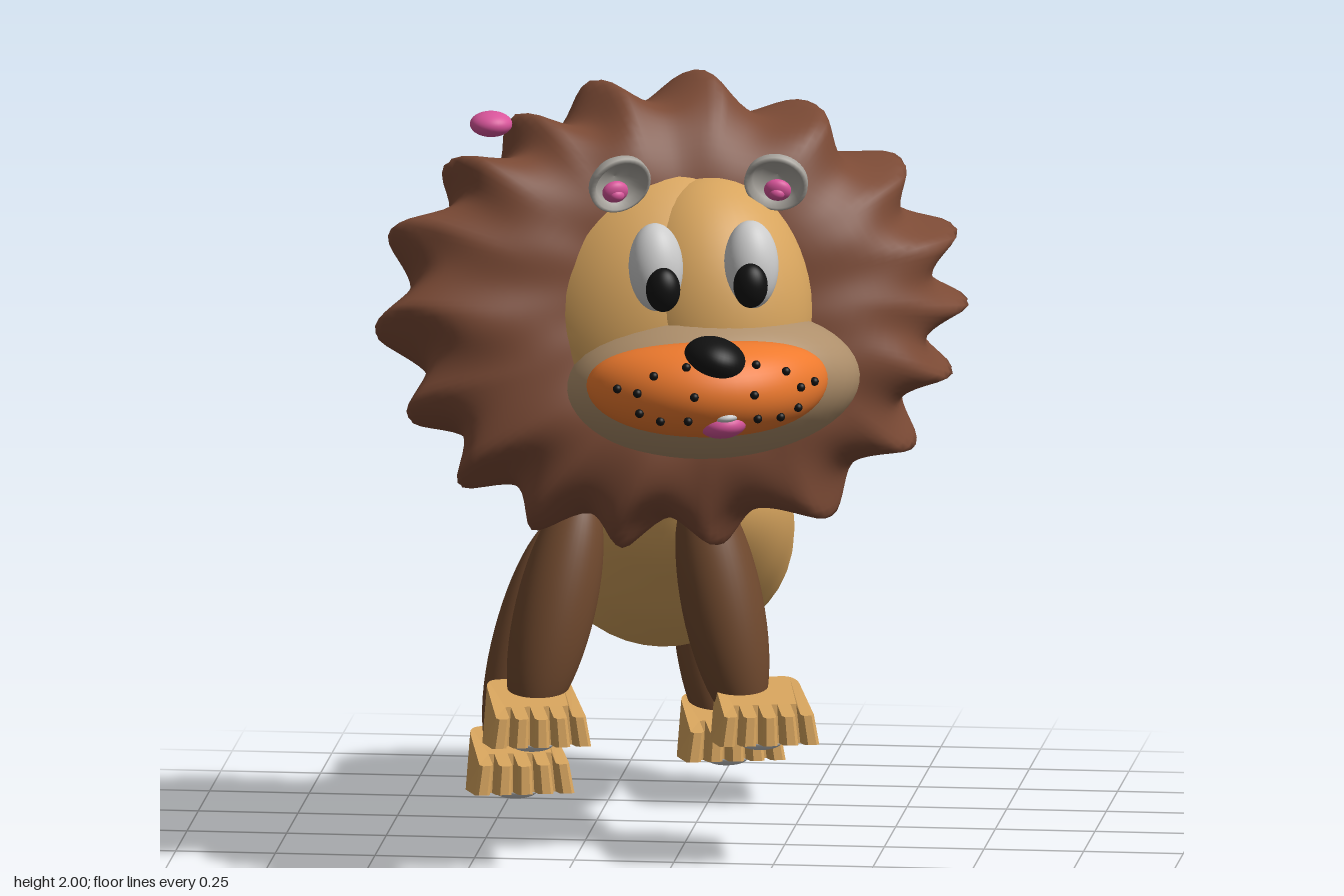
import * as THREE from 'three';
import { mergeVertices } from 'three/addons/utils/BufferGeometryUtils.js';

const mat = (color, side = THREE.FrontSide) => new THREE.MeshStandardMaterial({ color, side });
const M = {
  tan: mat(0xd8a55e), mane: mat(0x7b4a35), leg: mat(0x70492e), orange: mat(0xee7a2e),
  mask: mat(0xae8f6b), grey: mat(0xcccccc), pink: mat(0xd9559b), black: mat(0x111111),
  ear: mat(0xaaa69f, THREE.DoubleSide),
};

function add(parent, name, geometry, material, pos = [0, 0, 0], rot = [0, 0, 0]) {
  const m = new THREE.Mesh(geometry, material);
  m.name = name;
  m.position.set(...pos);
  m.rotation.set(rot[0], rot[1], rot[2], 'YXZ');
  parent.add(m);
  return m;
}

const ball = new THREE.SphereGeometry(1, 40, 28);
function ellipsoid(parent, name, material, pos, radii, rot) {
  const m = add(parent, name, ball, material, pos, rot);
  m.scale.set(...radii);
  return m;
}

// Body: smooth oval cross-sections from chest to rump
function bodyGeometry() {
  const sections = [ // z, x, y, rx, ry
    [0.115, -0.03, 0.9, 0, 0], [0.07, -0.03, 0.88, 0.15, 0.115], [-0.02, -0.04, 0.86, 0.24, 0.2],
    [-0.15, -0.05, 0.825, 0.29, 0.28], [-0.3, -0.07, 0.77, 0.31, 0.3], [-0.42, -0.09, 0.695, 0.31, 0.268],
    [-0.52, -0.115, 0.66, 0.295, 0.257], [-0.62, -0.13, 0.66, 0.28, 0.28], [-0.72, -0.12, 0.65, 0.245, 0.255],
    [-0.8, -0.1, 0.63, 0.18, 0.18], [-0.84, -0.1, 0.62, 0.1, 0.09], [-0.855, -0.1, 0.62, 0, 0],
  ];
  const centre = new THREE.CatmullRomCurve3(sections.map(s => new THREE.Vector3(s[1], s[2], s[0])), false, 'catmullrom');
  const size = new THREE.CatmullRomCurve3(sections.map(s => new THREE.Vector3(s[3], s[4], 0)), false, 'catmullrom');
  const rows = 55, cols = 40, pos = [], idx = [];
  for (let i = 0; i <= rows; i++) {
    const c = centre.getPoint(i / rows), r = size.getPoint(i / rows);
    for (let j = 0; j < cols; j++) {
      const a = j / cols * Math.PI * 2;
      pos.push(c.x + r.x * Math.cos(a), c.y + r.y * Math.sin(a), c.z);
      if (i === rows) continue;
      const p = i * cols + j, q = i * cols + (j + 1) % cols;
      idx.push(p, p + cols, q, q, p + cols, q + cols);
    }
  }
  const g = new THREE.BufferGeometry();
  g.setAttribute('position', new THREE.Float32BufferAttribute(pos, 3));
  g.setIndex(idx);
  g.computeVertexNormals();
  return g;
}

// Mane: lens-shaped disc, dished around the face, with a pointed, wavy rim
function maneGeometry() {
  let g = new THREE.SphereGeometry(1, 216, 48).rotateX(Math.PI / 2);
  g.deleteAttribute('uv');
  g.deleteAttribute('normal');
  g = mergeVertices(g, 1e-4);
  const p = g.attributes.position;
  for (let i = 0; i < p.count; i++) {
    const x = p.getX(i), y = p.getY(i), z = p.getZ(i);
    const a = Math.atan2(y, x), rho = Math.hypot(x, y);
    const phase = 9 * a + 0.6 * Math.sin(4 * z) + 0.5 * Math.sin(3 * a);
    const tooth = 1 - Math.sqrt(Math.sin(phase) ** 2 + 0.01);
    const size = 1 + rho ** 5 * (0.16 * tooth - 0.045 + 0.018 * Math.sin(5 * a + 4 * z));
    const wrinkle = 0.013 * rho ** 3 * (Math.sin(9 * a + 6 * rho) + 0.6 * Math.sin(14 * a - 7 * rho));
    const depth = z > 0 ? 0.235 * z * (1 - 0.5 * Math.exp(-((rho / 0.5) ** 2))) + 0.05 * Math.max(0, x) * z : 0.23 * z;
    p.setXYZ(i, x * 0.69 * size, y * 0.545 * size, depth + wrinkle * Math.sign(z) * Math.min(1, Math.abs(z) * 3));
  }
  g.computeVertexNormals();
  return g;
}

// Muzzle: a wide roll bent around the face
function muzzlePoint(x, y, z) {
  return [0.305 * x, 0.118 * y * (1 + 0.18 * x * x), 0.15 * z - 0.09 * x * x];
}
function muzzleGeometry() {
  const g = new THREE.SphereGeometry(1, 56, 32), p = g.attributes.position;
  for (let i = 0; i < p.count; i++) p.setXYZ(i, ...muzzlePoint(p.getX(i), p.getY(i), p.getZ(i)));
  g.computeVertexNormals();
  return g;
}

// Foot: comb outline with five toes, extruded and thinned toward the toes
function footGeometry() {
  const w = 0.25, back = -0.16, front = 0.165, slot = 0.016, toes = 5, s = new THREE.Shape();
  const toe = (w - slot * (toes - 1)) / toes;
  s.moveTo(-w * 0.3, back);
  s.quadraticCurveTo(-w * 0.46, back, -w * 0.47, back + 0.06);
  for (let i = 0; i < toes; i++) {
    const x = -w / 2 + i * (toe + slot), tip = front - 0.006 * Math.abs(i - 2);
    if (i > 0) s.lineTo(x, 0.06);
    s.lineTo(x, tip - 0.01);
    s.lineTo(x + 0.008, tip);
    s.lineTo(x + toe - 0.008, tip);
    s.lineTo(x + toe, tip - 0.01);
    if (i < toes - 1) s.lineTo(x + toe, 0.06);
  }
  s.lineTo(w * 0.47, back + 0.06);
  s.quadraticCurveTo(w * 0.46, back, w * 0.3, back);
  const g = new THREE.ExtrudeGeometry(s, { depth: 1, bevelEnabled: false, curveSegments: 6 });
  const p = g.attributes.position;
  for (let i = 0; i < p.count; i++) {
    const x = p.getX(i), z = p.getY(i), top = p.getZ(i);
    const height = THREE.MathUtils.mapLinear(z, back, front, 0.155, 0.07);
    p.setXYZ(i, x * (top ? 0.9 : 1), -0.07 + top * height, z + (top && z < 0 ? 0.02 : 0));
  }
  // Swapping the axes mirrors the solid, so turn each face around
  for (let i = 0; i < p.count; i += 3) {
    const b = new THREE.Vector3().fromBufferAttribute(p, i + 1), c = new THREE.Vector3().fromBufferAttribute(p, i + 2);
    p.setXYZ(i + 1, c.x, c.y, c.z);
    p.setXYZ(i + 2, b.x, b.y, b.z);
  }
  g.computeVertexNormals();
  return g;
}

function addLeg(root, name, top, bottom, radius, footPos, foot) {
  const leg = new THREE.Group();
  leg.name = name;
  root.add(leg);
  const a = new THREE.Vector3(...top), b = new THREE.Vector3(...bottom), d = a.clone().sub(b);
  const limb = ellipsoid(leg, name + 'Limb', M.leg, a.clone().add(b).multiplyScalar(0.5).toArray(), [radius, d.length() / 2, radius]);
  limb.quaternion.setFromUnitVectors(new THREE.Vector3(0, 1, 0), d.normalize());
  const paw = new THREE.Group();
  paw.name = name + 'Paw';
  paw.position.set(...footPos);
  paw.rotation.set(-0.14, 0.24, 0, 'YXZ');
  add(paw, 'foot', foot, M.tan);
  ellipsoid(paw, 'pad', M.grey, [0, -0.073, -0.03], [0.052, 0.018, 0.05]);
  leg.add(paw);
}

export function createModel() {
  const root = new THREE.Group();
  root.name = 'lion';
  add(root, 'body', bodyGeometry(), M.tan);

  // Legs
  const foot = footGeometry();
  addLeg(root, 'frontRightLeg', [-0.24, 0.93, 0.12], [-0.37, 0.34, 0.25], 0.1, [-0.345, 0.385, 0.305], foot);
  addLeg(root, 'frontLeftLeg', [0.04, 0.95, 0.07], [0.17, 0.33, 0.13], 0.102, [0.215, 0.38, 0.195], foot);
  addLeg(root, 'backRightLeg', [-0.39, 0.68, -0.73], [-0.53, 0.09, -0.54], 0.094, [-0.475, 0.105, -0.47], foot);
  addLeg(root, 'backLeftLeg', [-0.06, 0.69, -0.86], [0.02, 0.13, -0.64], 0.094, [0.04, 0.175, -0.6], foot);

  // Head
  const head = new THREE.Group();
  head.name = 'head';
  root.add(head);
  ellipsoid(head, 'skull', M.tan, [-0.03, 1.38, 0.22], [0.4, 0.45, 0.4], [-0.12, 0.34, 0]);
  ellipsoid(head, 'face', M.tan, [0.105, 1.44, 0.36], [0.255, 0.34, 0.265], [-0.15, 0.34, 0]);
  add(head, 'mane', maneGeometry(), M.mane, [0, 1.42, 0.3], [-0.22, 0.34, 0]);
  ellipsoid(head, 'cheeks', M.mask, [0.12, 1.275, 0.455], [0.375, 0.19, 0.27], [-0.28, 0.38, 0]);

  // Muzzle with mirrored whisker dots
  const muzzle = new THREE.Group();
  muzzle.name = 'muzzle';
  muzzle.position.set(0.155, 1.315, 0.73);
  muzzle.rotation.y = 0.3;
  head.add(muzzle);
  add(muzzle, 'muzzleRoll', muzzleGeometry(), M.orange);
  const dots = [[0.55, 0.45], [0.29, 0.66], [0.25, 0.09], [0.68, 0.09], [0.66, -0.32], [0.5, -0.47], [0.29, -0.45], [0.82, 0.12]];
  for (const side of [-1, 1]) {
    for (const [u, v] of dots) {
      ellipsoid(muzzle, 'whiskerDot', M.black, muzzlePoint(side * u, v, Math.sqrt(1 - u * u - v * v) + 0.03), [0.011, 0.011, 0.011]);
    }
  }
  ellipsoid(head, 'nose', M.black, [0.165, 1.4, 0.785], [0.08, 0.058, 0.09], [0, 0.3, -0.3]);
  ellipsoid(head, 'tongue', M.pink, [0.185, 1.245, 0.8], [0.062, 0.038, 0.07], [0, 0.3, 0.1]);
  ellipsoid(head, 'tooth', M.grey, [0.195, 1.268, 0.83], [0.036, 0.017, 0.04], [0, 0.3, 0.1]);

  // Eyes
  for (const [x, y, z, px, pz] of [[0, 1.605, 0.645, 0.025, 0.705], [0.23, 1.6, 0.56, 0.236, 0.63]]) {
    ellipsoid(head, 'eye', M.grey, [x, y, z], [0.068, 0.11, 0.066], [-0.15, 0.34, 0]);
    ellipsoid(head, 'pupil', M.black, [px, 1.56, pz], [0.043, 0.056, 0.038]);
  }

  // Ears: shallow cups with pink centres
  const cup = [[0, -0.04], [0.05, -0.03], [0.078, 0.005], [0.08, 0.025], [0.07, 0.03], [0.06, 0.01], [0.04, -0.014], [0, -0.02]];
  const earGeometry = new THREE.LatheGeometry(cup.map(c => new THREE.Vector2(...c)), 36).rotateX(Math.PI / 2);
  for (const [x, y, z, yaw] of [[-0.11, 1.8, 0.53, 0.5], [0.275, 1.785, 0.39, 0]]) {
    const ear = new THREE.Group();
    ear.name = 'ear';
    ear.position.set(x, y, z);
    ear.rotation.set(0.4, yaw, 0, 'YXZ');
    add(ear, 'earCup', earGeometry, M.ear);
    ellipsoid(ear, 'innerEar', M.pink, [0, -0.035, 0], [0.034, 0.03, 0.02]);
    ellipsoid(ear, 'innerEarCentre', M.pink, [0, -0.037, 0.014], [0.019, 0.015, 0.014]);
    head.add(ear);
  }

  // Loose ball above the mane
  ellipsoid(root, 'pinkBall', M.pink, [-0.43, 1.93, 0.5], [0.053, 0.032, 0.05]);
  return root;
}
